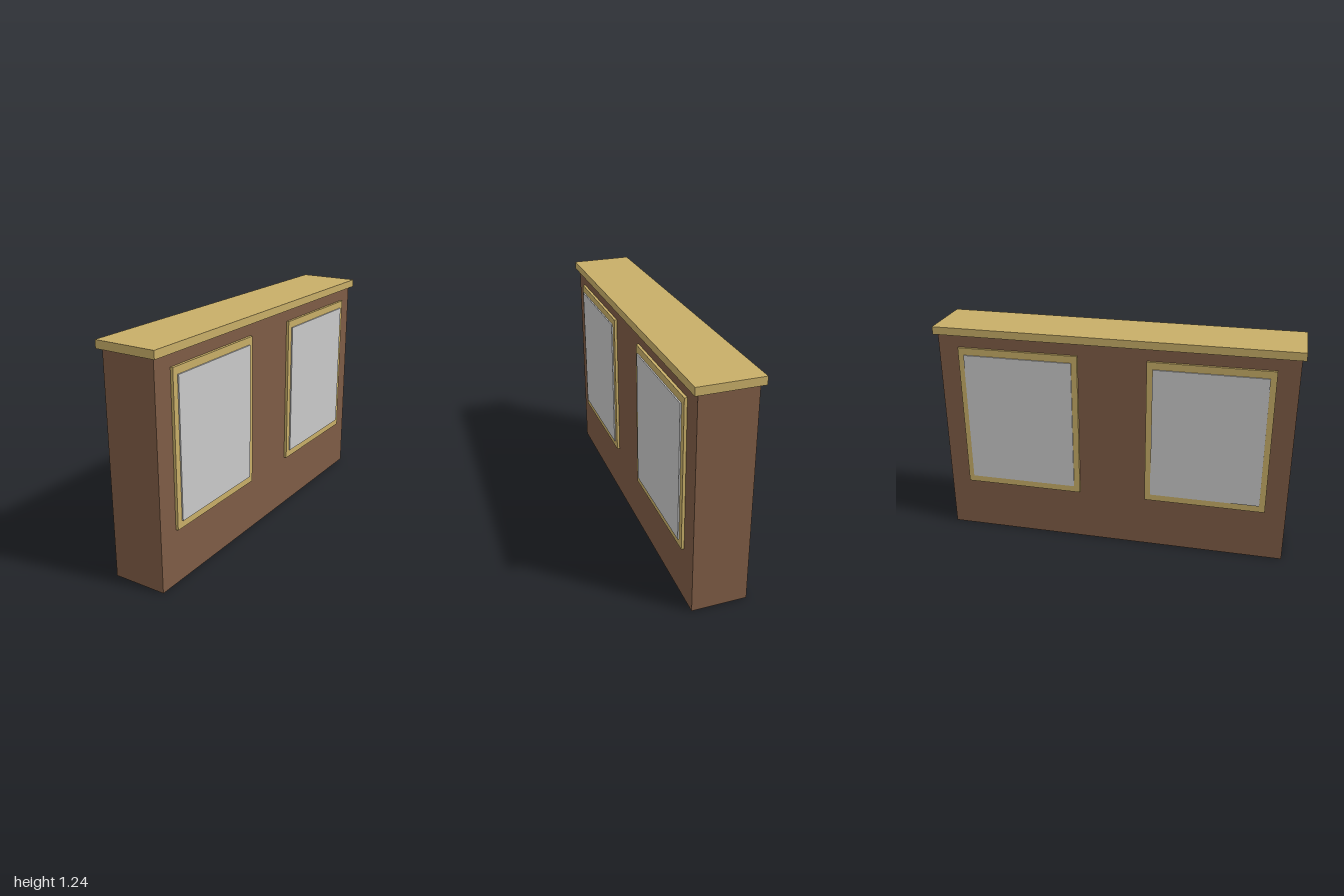
import * as THREE from 'three';

const brown = new THREE.MeshStandardMaterial({ name: 'brown wall', color: 0x7e5c45 });
const tan = new THREE.MeshStandardMaterial({ name: 'tan trim', color: 0xc8ae68 });
const grey = new THREE.MeshStandardMaterial({ name: 'light grey panel', color: 0xc9c9c9 });

function box(name, material, size, position) {
  const mesh = new THREE.Mesh(new THREE.BoxGeometry(...size), material);
  mesh.name = name;
  mesh.position.set(...position);
  return mesh;
}

// Raised backing board with a thin panel on its outer face
function framedPanel(side, z) {
  const group = new THREE.Group();
  group.name = 'framedPanel';
  group.add(
    box('panelFrame', tan, [0.015, 0.83, 0.675], [side * 0.1575, 0.715, z]),
    box('panel', grey, [0.007, 0.75, 0.61], [side * 0.1685, 0.715, z])
  );
  return group;
}

export function createModel() {
  const model = new THREE.Group();
  model.name = 'lowWall';

  // Wall and overhanging cap
  model.add(box('wall', brown, [0.3, 1.2, 1.96], [0, 0.6, 0]));
  model.add(box('cap', tan, [0.345, 0.043, 2], [0, 1.2215, 0]));

  // Two framed panels on each long side
  for (const side of [-1, 1]) {
    for (const end of [-1, 1]) model.add(framedPanel(side, end * 0.527));
  }
  return model;
}
